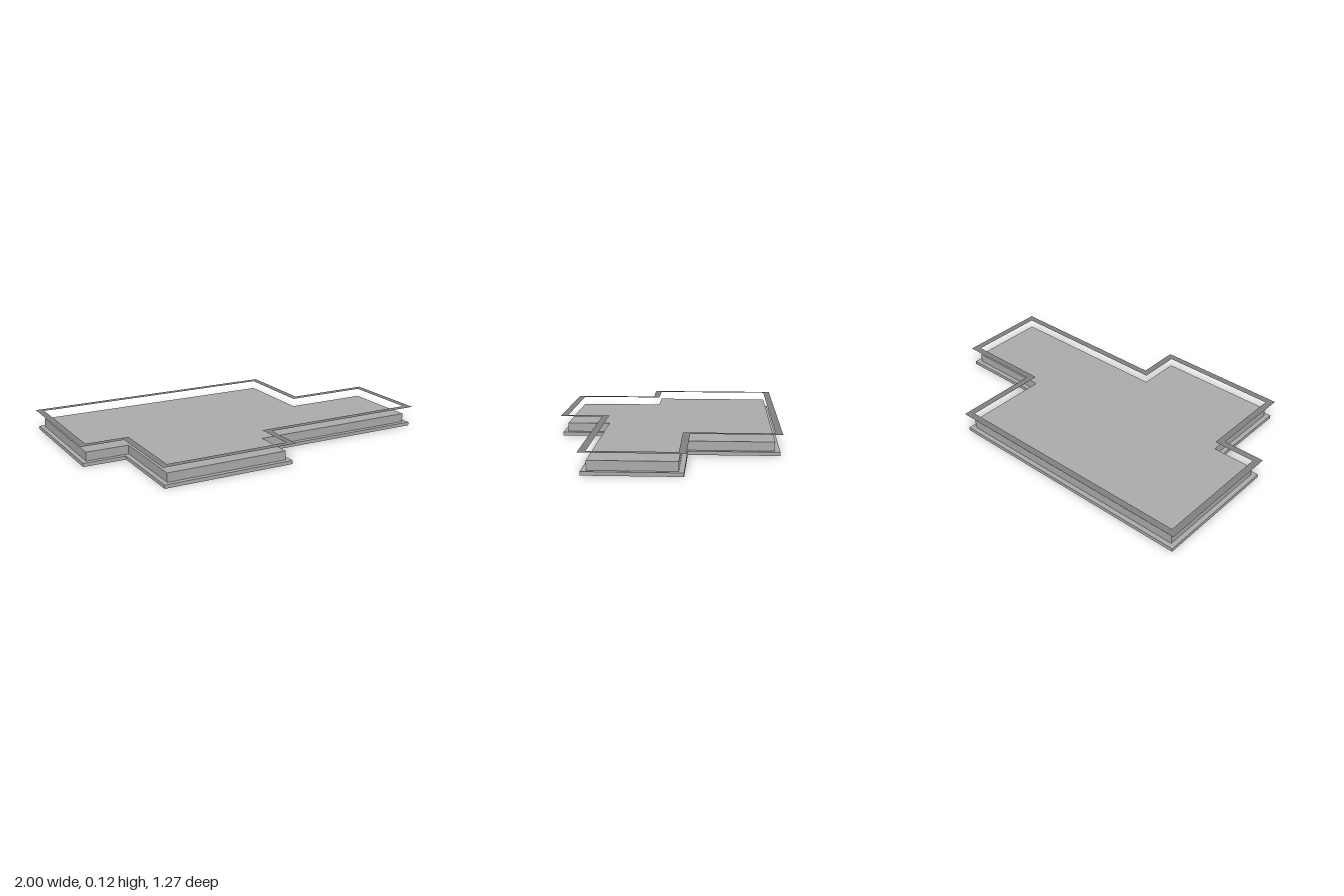
import * as THREE from 'three';

// Stepped floor plan as [x, z] corners of the raised slab
const PLAN = [
  [-0.96, -0.596], [0.47, -0.596], [0.47, -0.103], [0.96, -0.103], [0.96, 0.351],
  [-0.022, 0.351], [-0.022, 0.596], [-0.716, 0.596], [-0.716, 0.101], [-0.96, 0.101],
];

// Push every edge of the right-angled plan outward by d
function outline(d) {
  const n = PLAN.length;
  const normal = (a, b) => [Math.sign(b[1] - a[1]), -Math.sign(b[0] - a[0])];
  return PLAN.map((p, i) => {
    const m = normal(PLAN[(i + n - 1) % n], p);
    const k = normal(p, PLAN[(i + 1) % n]);
    return new THREE.Vector2(p[0] + d * (m[0] + k[0]), p[1] + d * (m[1] + k[1]));
  });
}

// Solid layer between two heights
function layer(name, d, bottom, top, material) {
  const geometry = new THREE.ExtrudeGeometry(new THREE.Shape(outline(d)), {
    depth: top - bottom, bevelEnabled: false,
  });
  geometry.rotateX(Math.PI / 2).translate(0, top, 0);
  const mesh = new THREE.Mesh(geometry, material);
  mesh.name = name;
  return mesh;
}

export function createModel() {
  const slabGrey = new THREE.MeshStandardMaterial({ color: 0xaaaaac });
  slabGrey.name = 'slab grey';
  const borderGrey = new THREE.MeshStandardMaterial({ color: 0x808083, side: THREE.DoubleSide });
  borderGrey.name = 'border grey';

  const model = new THREE.Group();
  model.name = 'steppedPlatform';
  model.add(layer('basePlinth', 0.027, 0, 0.02, slabGrey));
  model.add(layer('raisedSlab', 0, 0.02, 0.07, slabGrey));

  // Flat border strip floating above the slab
  const strip = new THREE.Shape(outline(0.039));
  strip.holes.push(new THREE.Path(outline(0)));
  const geometry = new THREE.ShapeGeometry(strip);
  geometry.rotateX(Math.PI / 2).translate(0, 0.117, 0);
  const border = new THREE.Mesh(geometry, borderGrey);
  border.name = 'floatingBorder';
  model.add(border);
  return model;
}
